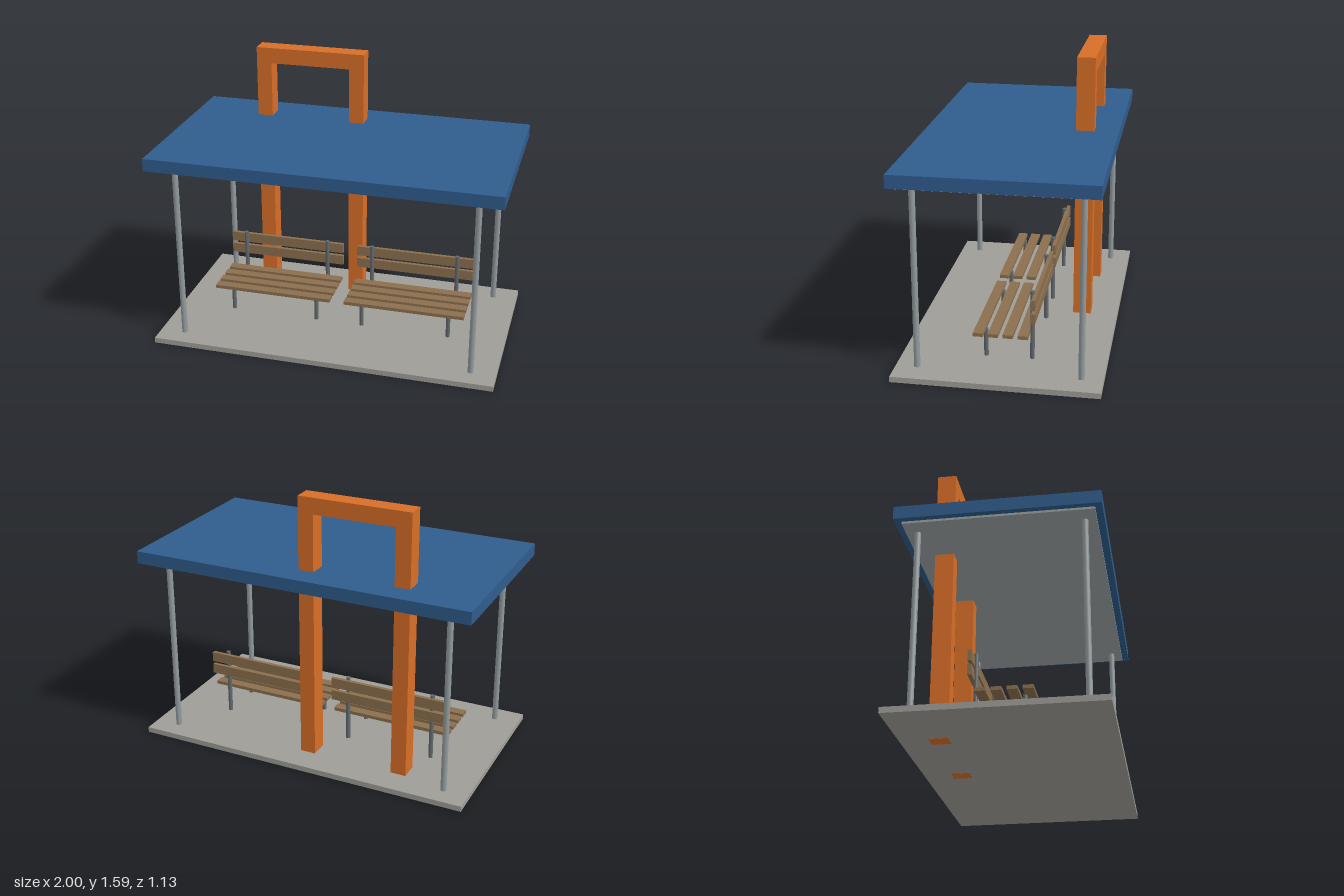
import * as THREE from 'three';

const paint = (color) => new THREE.MeshStandardMaterial({ color });
const concrete = paint(0x9e9d97);
const steel = paint(0x939b9d);
const darkSteel = paint(0x62696c);
const wood = paint(0x8b6f4e);
const blue = paint(0x2f5c8c);
const orange = paint(0xd86e27);
const lining = paint(0x9da1a2);

// Box given by its extents along each axis
function box(name, material, [x0, x1], [y0, y1], [z0, z1]) {
  const mesh = new THREE.Mesh(new THREE.BoxGeometry(x1 - x0, y1 - y0, z1 - z0), material);
  mesh.position.set((x0 + x1) / 2, (y0 + y1) / 2, (z0 + z1) / 2);
  mesh.name = name;
  return mesh;
}

// Upright round post from y0 to y1
function post(name, material, radius, x, z, y0, y1) {
  const mesh = new THREE.Mesh(new THREE.CylinderGeometry(radius, radius, y1 - y0, 20), material);
  mesh.position.set(x, (y0 + y1) / 2, z);
  mesh.name = name;
  return mesh;
}

// Slatted bench, centred on its own x = 0
function bench(name) {
  const group = new THREE.Group();
  group.name = name;
  const span = [-0.359, 0.359];
  for (let i = 0; i < 4; i++) {
    const z = 0.131 - i * 0.082;
    group.add(box('seatSlat', wood, span, [0.187, 0.207], [z - 0.028, z + 0.028]));
  }
  for (const y of [0.281, 0.36]) {
    group.add(box('backSlat', wood, span, [y, y + 0.059], [-0.182, -0.16]));
  }
  for (const x of [-0.262, 0.262]) {
    group.add(post('frontLeg', darkSteel, 0.0125, x, 0.103, 0.03, 0.195));
    group.add(post('backPost', darkSteel, 0.0125, x, -0.154, 0.03, 0.434));
  }
  return group;
}

export function createModel() {
  const model = new THREE.Group();
  model.name = 'shelter';

  // Floor slab
  model.add(box('floorSlab', concrete, [-1, 1], [0.001, 0.033], [-0.565, 0.565]));

  // Roof with an inset ceiling panel below
  model.add(box('roof', blue, [-1, 1], [1.09, 1.163], [-0.548, 0.548]));
  model.add(box('ceiling', lining, [-0.965, 0.965], [1.077, 1.092], [-0.51, 0.51]));

  // Corner posts
  for (const x of [-0.856, 0.856]) {
    for (const z of [-0.447, 0.447]) {
      model.add(post('cornerPost', steel, 0.017, x, z, 0.03, 1.08));
    }
  }

  // Square arch passing through the roof and the slab
  const outline = [
    [-0.614, 0], [-0.524, 0], [-0.524, 1.492], [-0.048, 1.492],
    [-0.048, 0], [0.042, 0], [0.042, 1.585], [-0.614, 1.585],
  ].map(([x, y]) => new THREE.Vector2(x, y));
  const arch = new THREE.Mesh(
    new THREE.ExtrudeGeometry(new THREE.Shape(outline), { depth: 0.105, bevelEnabled: false }),
    orange,
  );
  arch.position.z = -0.408;
  arch.name = 'arch';
  model.add(arch);

  // Two benches side by side
  for (const [name, x] of [['rightBench', -0.404], ['leftBench', 0.402]]) {
    const seat = bench(name);
    seat.position.x = x;
    model.add(seat);
  }
  return model;
}
